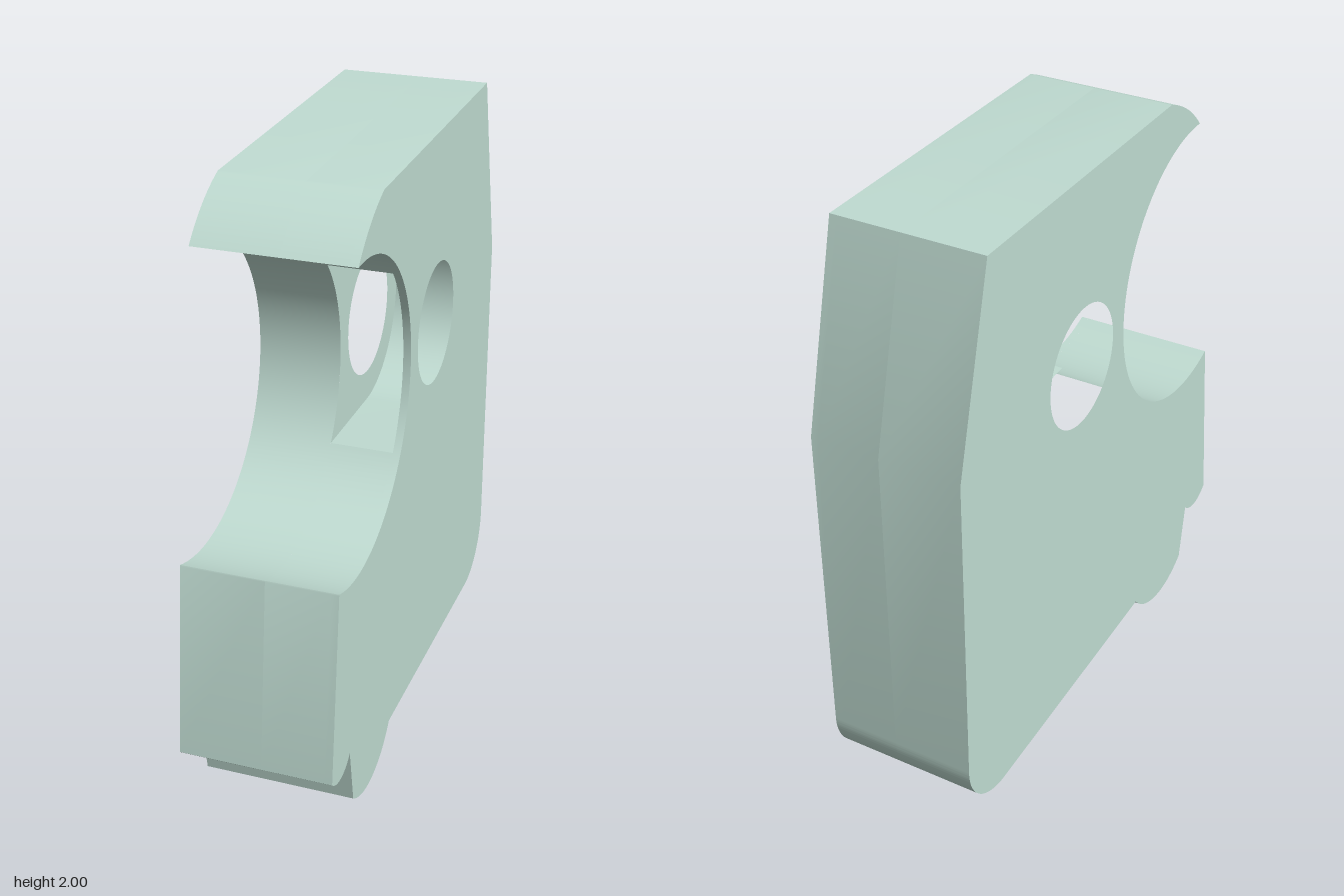
import * as THREE from 'three';
import { mergeGeometries, toCreasedNormals } from 'three/addons/utils/BufferGeometryUtils.js';

// Profile plane: a = -z (horizontal), y = up. The plate is extruded along x.
const V = (a, y) => new THREE.Vector2(a, y);
const SEG = 40;

// Big front notch, cross hole and the slightly tilted slot around the hole
const notch = V(-0.613, 1.36), NOTCH_R = 0.492, NOTCH_START = -1.957, NOTCH_END = 1.615;
const hole = V(0.155, 1.36), HOLE_R = 0.203;
const SLOT_R = 0.305, TILT = 0.036;
const slotDir = V(-Math.cos(TILT), Math.sin(TILT));
const slotUp = V(Math.sin(TILT), Math.cos(TILT));
const slotTop = hole.clone().addScaledVector(slotUp, SLOT_R);
const slotBottom = hole.clone().addScaledVector(slotUp, -SLOT_R);

// Where a slot edge meets the notch circle, as an angle on that circle
function notchAngle(p) {
  const w = p.clone().sub(notch);
  const b = w.dot(slotDir);
  const s = -b - Math.sqrt(b * b - w.lengthSq() + NOTCH_R * NOTCH_R);
  return w.addScaledVector(slotDir, s).angle();
}
const signed = (t) => (t > Math.PI ? t - 2 * Math.PI : t);
const lowAngle = signed(notchAngle(slotBottom)), highAngle = signed(notchAngle(slotTop));

// Slot edge: along the floor, round the back, along the ceiling
function addSlot(s) {
  s.lineTo(slotBottom.x, slotBottom.y);
  s.absarc(hole.x, hole.y, SLOT_R, -Math.PI / 2 - TILT, Math.PI / 2 - TILT, false);
  s.lineTo(notch.x + NOTCH_R * Math.cos(highAngle), notch.y + NOTCH_R * Math.sin(highAngle));
}

function addHole(s) {
  s.holes.push(new THREE.Path().absarc(hole.x, hole.y, HOLE_R, 0, Math.PI * 2, true));
  return s;
}

// Arc about (a, y) running clockwise between two points
function arcBetween(s, a, y, r, from, to) {
  s.absarc(a, y, r, Math.atan2(from[1] - y, from[0] - a), Math.atan2(to[1] - y, to[0] - a), true);
}

function outline(withSlot) {
  const s = new THREE.Shape();
  s.moveTo(-0.41, 2);
  s.lineTo(0.705, 2);
  s.lineTo(0.87, 1.36);
  s.absarc(0.665, 0.265, 0.205, 0, -Math.PI / 2 - TILT, true);      // rounded back corner
  arcBetween(s, -0.505, 0.26, 0.26, [-0.30, 0.10], [-0.67, 0.06]);  // rounded foot
  arcBetween(s, -0.787, 0.345, 0.115, [-0.705, 0.265], [-0.87, 0.265]); // small toe
  s.lineTo(-0.80, 0.90);
  if (withSlot) {
    s.absarc(notch.x, notch.y, NOTCH_R, NOTCH_START, lowAngle, false);
    addSlot(s);
    s.absarc(notch.x, notch.y, NOTCH_R, highAngle, NOTCH_END, false);
    s.quadraticCurveTo(-0.54, 1.955, -0.41, 2);
    return s;
  }
  s.absarc(notch.x, notch.y, NOTCH_R, NOTCH_START, NOTCH_END, false);
  s.quadraticCurveTo(-0.54, 1.955, -0.41, 2);
  return addHole(s);
}

// Inner wall of the slot, seen beside the hole
function slotWall() {
  const s = new THREE.Shape();
  s.moveTo(notch.x + NOTCH_R * Math.cos(lowAngle), notch.y + NOTCH_R * Math.sin(lowAngle));
  addSlot(s);
  s.absarc(notch.x, notch.y, NOTCH_R, highAngle, lowAngle, true);
  return addHole(s);
}

// Edge surfaces of a shape between two x positions, without end faces
function sides(shape, x0, x1) {
  const g = new THREE.ExtrudeGeometry(shape, { depth: x1 - x0, bevelEnabled: false, curveSegments: SEG });
  const { start, count } = g.groups[1];
  const out = new THREE.BufferGeometry();
  const pos = g.attributes.position.array.slice(start * 3, (start + count) * 3);
  out.setAttribute('position', new THREE.BufferAttribute(pos, 3));
  return out.translate(0, 0, x0).rotateY(Math.PI / 2);
}

// Flat face of a shape at x, facing +x or -x
function face(shape, x, facing) {
  const g = new THREE.ShapeGeometry(shape, SEG);
  if (facing < 0) g.index.array.reverse();
  const out = g.toNonIndexed();
  out.deleteAttribute('uv');
  out.deleteAttribute('normal');
  return out.translate(0, 0, x).rotateY(Math.PI / 2);
}

export function createModel() {
  const group = new THREE.Group();
  group.name = 'notchedPlate';
  const material = new THREE.MeshStandardMaterial({ color: 0xc0dcd2 });
  const add = (name, parts) => {
    const mesh = new THREE.Mesh(toCreasedNormals(mergeGeometries(parts), 0.4), material);
    mesh.name = name;
    group.add(mesh);
  };

  const HALF = 0.25, SLOT_IN = 0.02, SLOT_OUT = 0.225;
  const full = outline(false), slotted = outline(true), wall = slotWall();

  add('plateBody', [
    face(full, -HALF, -1), face(full, HALF, 1),
    sides(full, -HALF, SLOT_IN), sides(slotted, SLOT_IN, SLOT_OUT), sides(full, SLOT_OUT, HALF),
  ]);
  add('slotWalls', [face(wall, SLOT_IN, 1), face(wall, SLOT_OUT, -1)]);
  return group;
}
